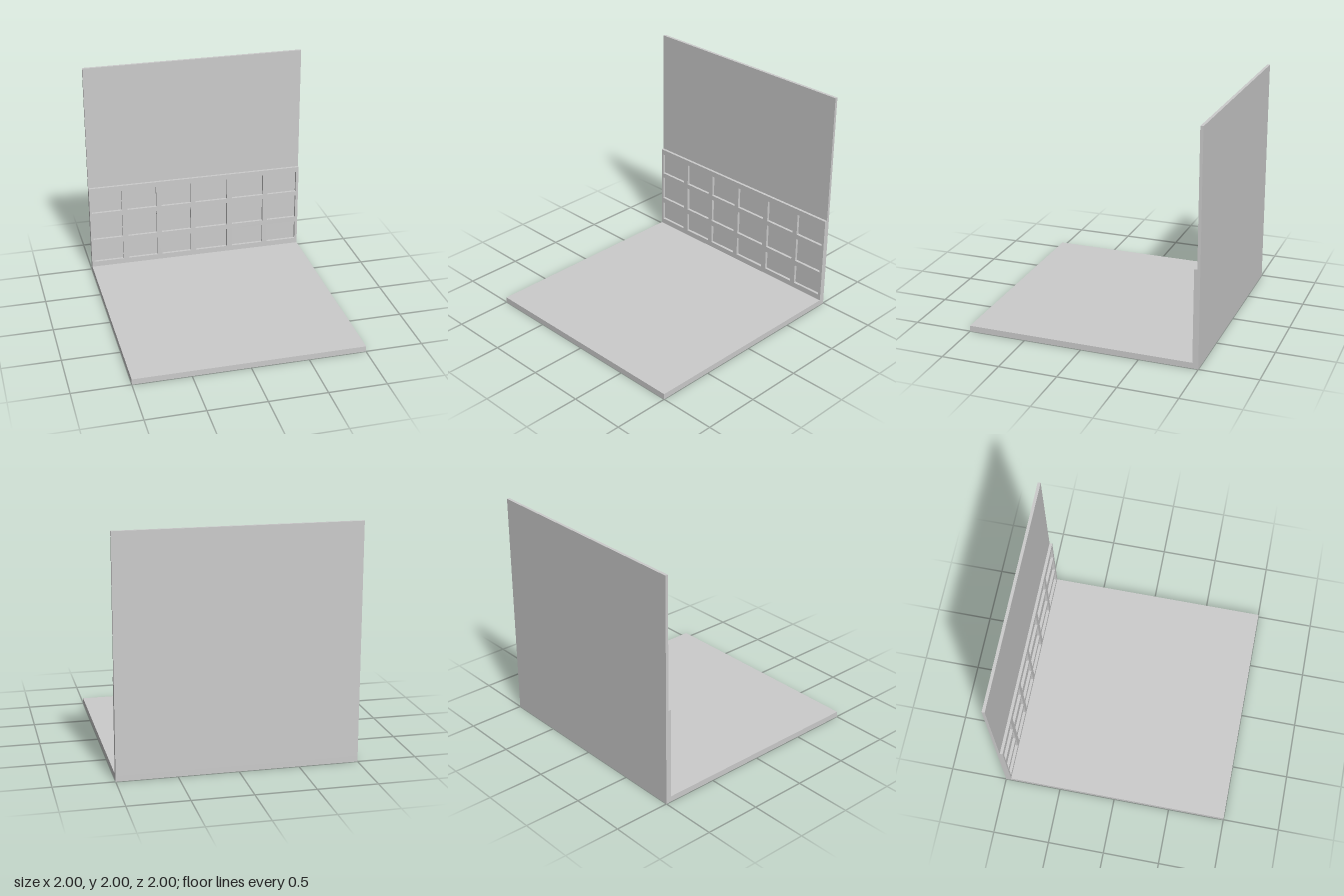
import * as THREE from 'three';

const material = new THREE.MeshStandardMaterial({ color: 0xcccccc, flatShading: true });

const FLOOR = 0.05;        // floor thickness
const WALL = 0.025;        // wall thickness
const PANEL = 0.025;       // panelling thickness
const PANEL_TOP = 0.85;

// Openings of the panelling: [min, max] along x and y
const COLUMNS = [[-0.98, -0.7], [-0.65, -0.375], [-0.33, -0.05], [-0.005, 0.3], [0.35, 0.65], [0.695, 0.975]];
const ROWS = [[0.1, 0.28], [0.33, 0.555], [0.6, 0.8]];

function addPart(group, name, geometry, x, y, z) {
  const mesh = new THREE.Mesh(geometry, material);
  mesh.name = name;
  mesh.position.set(x, y, z);
  group.add(mesh);
}

function rectangle(PathType, x0, x1, y0, y1) {
  return new PathType([[x0, y0], [x1, y0], [x1, y1], [x0, y1]].map(([x, y]) => new THREE.Vector2(x, y)));
}

export function createModel() {
  const group = new THREE.Group();
  group.name = 'roomCorner';

  // Floor slab and the thin wall standing on its back edge
  addPart(group, 'floor', new THREE.BoxGeometry(2, FLOOR, 2), 0, FLOOR / 2, 0);
  const wallHeight = 2 - FLOOR;
  addPart(group, 'backWall', new THREE.BoxGeometry(2, wallHeight, WALL), 0, FLOOR + wallHeight / 2, -1 + WALL / 2);

  // Panelling on the lower wall, with openings that show the wall behind
  const frame = rectangle(THREE.Shape, -1, 1, FLOOR, PANEL_TOP);
  for (const [x0, x1] of COLUMNS) {
    for (const [y0, y1] of ROWS) frame.holes.push(rectangle(THREE.Path, x0, x1, y0, y1));
  }
  const panelling = new THREE.ExtrudeGeometry(frame, { depth: PANEL, bevelEnabled: false });
  addPart(group, 'wallPanelling', panelling, 0, 0, -1 + WALL);

  return group;
}
